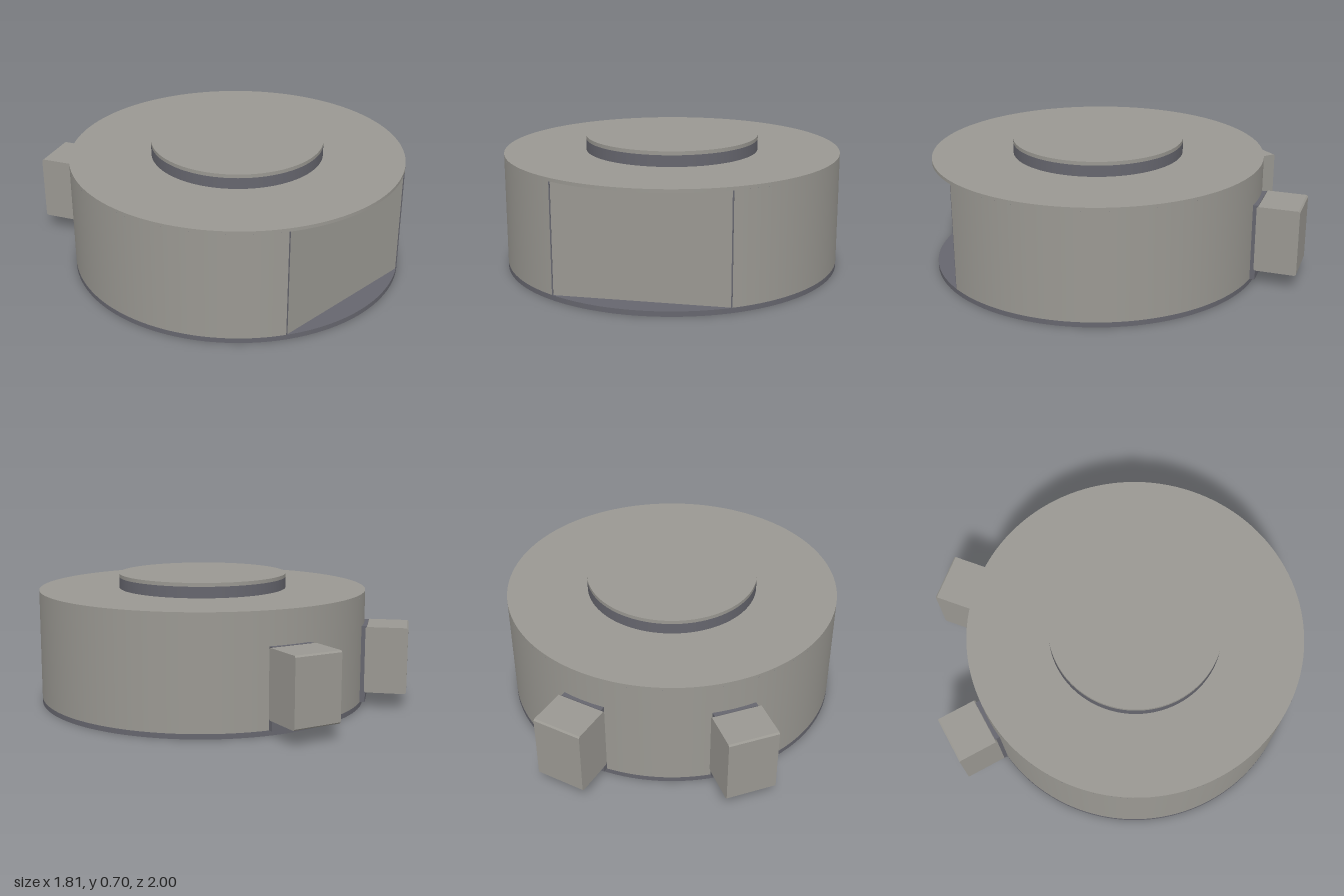
import * as THREE from 'three';

const R = 0.905, CZ = 0.095; // drum radius and centre

export function createModel() {
  const model = new THREE.Group();
  model.name = 'roundDevice';
  const grey = new THREE.MeshStandardMaterial({ color: 0x9a9892 });
  grey.name = 'warm grey';
  const slate = new THREE.MeshStandardMaterial({ color: 0x66666e });
  slate.name = 'slate';

  const add = (parent, name, geometry, material, x, y, z) => {
    const mesh = new THREE.Mesh(geometry, material);
    mesh.name = name;
    mesh.position.set(x, y, z);
    parent.add(mesh);
    return mesh;
  };
  // Upright disc between two heights
  const disc = (name, r, y0, y1, material) =>
    add(model, name, new THREE.CylinderGeometry(r, r, y1 - y0, 128), material, 0, (y0 + y1) / 2, CZ);

  disc('basePlate', R, 0, 0.027, slate);
  disc('topPlate', R, 0.607, 0.625, grey);
  disc('capNeck', 0.465, 0.625, 0.685, slate);
  disc('capLid', 0.465, 0.685, 0.705, grey);

  // Drum wall, cut by a flat front
  const half = 0.45, y0 = 0.027, y1 = 0.607, h = y1 - y0, yc = (y0 + y1) / 2;
  const a = Math.asin(half / R);
  const flatZ = CZ + R * Math.cos(a);
  add(model, 'drumWall', new THREE.CylinderGeometry(R, R, h, 128, 1, true, a, 2 * Math.PI - 2 * a),
    grey, 0, yc, CZ);
  add(model, 'frontPanel', new THREE.PlaneGeometry(2 * half, h), grey, 0, yc, flatZ);
  for (const s of [-1, 1]) {
    add(model, 'panelSeam', new THREE.BoxGeometry(0.007, h, 0.004), slate, s * (half - 0.0035), yc, flatZ);
  }

  // Chamfered side profile of a rear block: depth by height
  const d = 0.1125, t = 0.18, c = 0.008;
  const profile = new THREE.Shape([
    [-d + c, -t], [d - c, -t], [d, -t + c], [d, t - c],
    [d - c, t], [-d + c, t], [-d, t - c], [-d, -t + c],
  ].map(([x, y]) => new THREE.Vector2(x, y)));
  const width = 0.266;
  const blockGeometry = new THREE.ExtrudeGeometry(profile, { depth: width, bevelEnabled: false });
  blockGeometry.translate(0, 0, -width / 2).rotateY(Math.PI / 2);

  // Two rear blocks on brackets, turned outward from the drum centre
  for (const s of [-1, 1]) {
    const unit = new THREE.Group();
    unit.name = s > 0 ? 'leftRearUnit' : 'rightRearUnit';
    unit.position.z = CZ;
    unit.rotation.y = -s * THREE.MathUtils.degToRad(24.8);
    add(unit, 'block', blockGeometry, grey, 0, 0.267, -1.032);
    add(unit, 'bracket', new THREE.BoxGeometry(0.235, 0.42, 0.05), slate, 0, 0.238, -0.9);
    model.add(unit);
  }
  return model;
}
